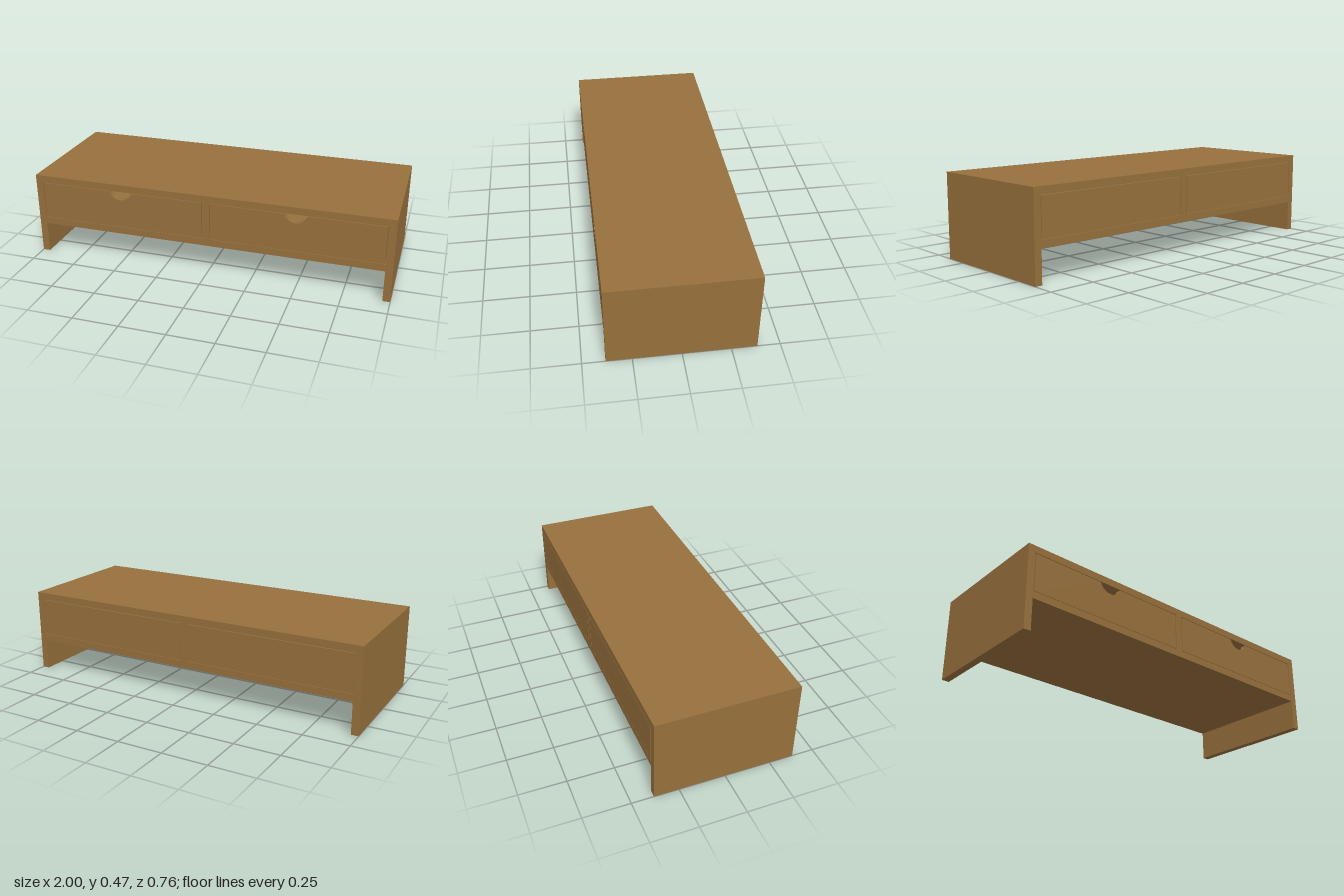
import * as THREE from 'three';

const DEPTH = 0.764;          // overall front-to-back size
const HEIGHT = 0.468;
const BOARD = 0.04;           // board thickness
const TONGUE = 0.02;          // how far shelves sit into the sides
const SHELF_Y = 0.175;        // underside of the lower shelf
const TOP_Y = HEIGHT - BOARD; // underside of the top board

const wood = new THREE.MeshStandardMaterial({ color: 0x966f3c });
wood.name = 'warm wood';

function box(name, w, h, d, x, y, z) {
  const mesh = new THREE.Mesh(new THREE.BoxGeometry(w, h, d), wood);
  mesh.name = name;
  mesh.position.set(x, y, z);
  return mesh;
}

function extrude(name, points, depth) {
  const shape = new THREE.Shape(points.map(([x, y]) => new THREE.Vector2(x, y)));
  const mesh = new THREE.Mesh(
    new THREE.ExtrudeGeometry(shape, { depth, bevelEnabled: false }), wood);
  mesh.name = name;
  return mesh;
}

// Side board with a groove for the shelf and a rebate for the top
function sidePanel(name, side) {
  const inner = 1 - BOARD, seat = 1 - TONGUE;
  const points = [
    [inner, 0], [1, 0], [1, HEIGHT], [seat, HEIGHT], [seat, TOP_Y],
    [inner, TOP_Y], [inner, SHELF_Y + BOARD], [seat, SHELF_Y + BOARD],
    [seat, SHELF_Y], [inner, SHELF_Y],
  ].map(([x, y]) => [side * x, y]);
  const mesh = extrude(name, points, DEPTH);
  mesh.position.z = -DEPTH / 2;
  return mesh;
}

// Open drawer box with a rounded finger notch in its front
function drawer(name, x) {
  const group = new THREE.Group();
  group.name = name;
  const w = 0.93, y0 = 0.217, y1 = 0.425, wall = 0.03, h = y1 - y0;
  const r = 0.067, cy = 0.445, a = Math.asin((cy - y1) / r);
  const points = [[-w / 2, y0], [w / 2, y0], [w / 2, y1]];
  for (let i = 0; i <= 24; i++) {
    const t = -a - (Math.PI - 2 * a) * i / 24;
    points.push([r * Math.cos(t), cy + r * Math.sin(t)]);
  }
  points.push([-w / 2, y1]);
  const front = extrude('drawerFront', points, wall);
  front.position.z = DEPTH / 2 - wall;
  group.add(front);
  group.add(box('drawerBack', w, h, wall, 0, y0 + h / 2, -DEPTH / 2 + wall / 2));
  const innerDepth = DEPTH - 2 * wall;
  for (const s of [-1, 1]) {
    group.add(box('drawerSide', wall, h, innerDepth, s * (w - wall) / 2, y0 + h / 2, 0));
  }
  group.add(box('drawerBottom', w - 2 * wall, 0.02, innerDepth, 0, y0 + 0.01, 0));
  group.position.x = x;
  return group;
}

export function createModel() {
  const model = new THREE.Group();
  model.name = 'deskRiser';
  const shelfWidth = 2 * (1 - TONGUE);
  model.add(sidePanel('leftSide', 1), sidePanel('rightSide', -1));
  model.add(box('topBoard', shelfWidth, BOARD, DEPTH, 0, TOP_Y + BOARD / 2, 0));
  model.add(box('lowerShelf', shelfWidth, BOARD, DEPTH, 0, SHELF_Y + BOARD / 2, 0));
  const gapBottom = SHELF_Y + BOARD;
  model.add(box('divider', BOARD, TOP_Y - gapBottom, DEPTH, 0, (TOP_Y + gapBottom) / 2, 0));
  model.add(drawer('leftDrawer', 0.49), drawer('rightDrawer', -0.49));
  return model;
}
